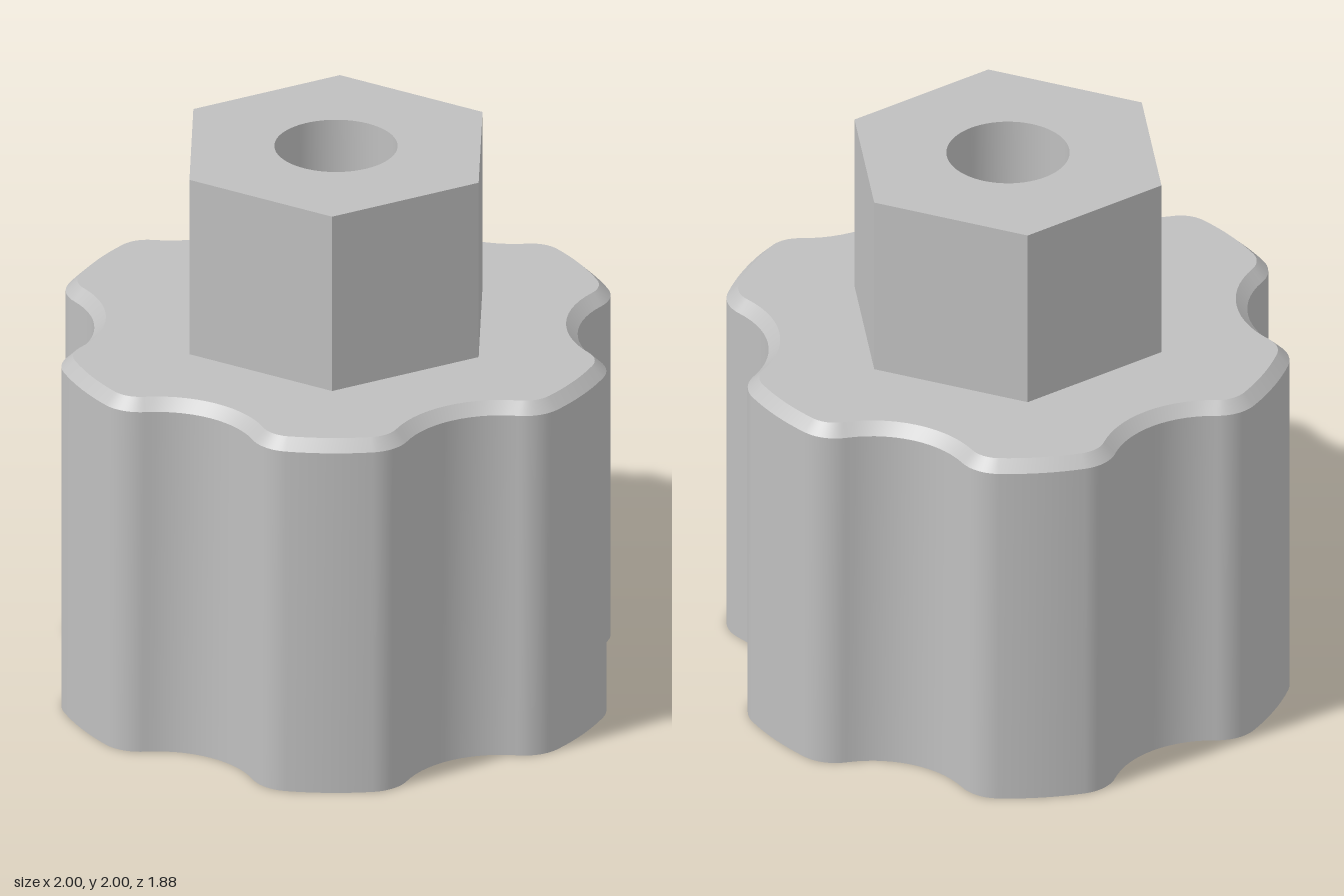
import * as THREE from 'three';

const DEG = Math.PI / 180;
const BODY_TOP = 1.335, HEIGHT = 2, CHAMFER = 0.04;
const BORE_R = 0.75, BORE_TOP = 1.07, HOLE_R = 0.213, HEX_R = 0.577;

// Points along an arc, last point left out so arcs can be chained
function arc(cx, cy, r, from, to, steps) {
  return Array.from({ length: steps }, (_, i) => {
    const t = from + (to - from) * i / steps;
    return new THREE.Vector2(cx + r * Math.cos(t), cy + r * Math.sin(t));
  });
}

const circle = (r, n = 96) => arc(0, 0, r, 0, Math.PI * 2, n);

// Six-lobed grip outline: scallop, fillet, lobe, fillet; inset shrinks it evenly
function gripOutline(inset = 0) {
  const f = 0.15, r = 0.355, d = 1.19;
  const c = 1 - f;
  const beta = Math.acos((c * c + d * d - (r + f) ** 2) / (2 * c * d));
  const phi = Math.asin(c * Math.sin(beta) / (r + f));
  const pts = [];
  for (let k = 0; k < 6; k++) {
    const s = (60 * k - 30) * DEG, e = s + 60 * DEG;
    const a = s + beta, b = e - beta;
    pts.push(
      ...arc(d * Math.cos(s), d * Math.sin(s), r + inset, s + Math.PI + phi, s + Math.PI - phi, 14),
      ...arc(c * Math.cos(a), c * Math.sin(a), f - inset, s - phi, a, 10),
      ...arc(0, 0, 1 - inset, a, b, 8),
      ...arc(c * Math.cos(b), c * Math.sin(b), f - inset, b, e + phi, 10)
    );
  }
  return pts;
}

// Smooth closed wall between two matching outlines; inward walls face the axis
function wall(lower, y0, upper, y1, inward = false) {
  const n = lower.length, pos = [], idx = [];
  lower.forEach(p => pos.push(p.x, y0, -p.y));
  upper.forEach(p => pos.push(p.x, y1, -p.y));
  for (let i = 0; i < n; i++) {
    const j = (i + 1) % n;
    if (inward) idx.push(i, n + j, j, i, n + i, n + j);
    else idx.push(i, j, n + j, i, n + j, n + i);
  }
  const g = new THREE.BufferGeometry();
  g.setAttribute('position', new THREE.Float32BufferAttribute(pos, 3));
  g.setIndex(idx);
  g.computeVertexNormals();
  return g;
}

// Flat horizontal face with a hole, facing up or down
function cap(outline, hole, y, up) {
  const shape = new THREE.Shape(outline);
  shape.holes.push(new THREE.Path(hole));
  return new THREE.ShapeGeometry(shape)
    .rotateX(up ? -Math.PI / 2 : Math.PI / 2)
    .translate(0, y, 0);
}

export function createModel() {
  const model = new THREE.Group();
  model.name = 'hexShankGripKnob';
  const grey = new THREE.MeshStandardMaterial({ color: 0xbfbfbf });
  grey.name = 'plainGrey';

  const part = (name, geometries) => {
    const group = new THREE.Group();
    group.name = name;
    for (const [meshName, geometry] of Object.entries(geometries)) {
      const mesh = new THREE.Mesh(geometry, grey);
      mesh.name = meshName;
      group.add(mesh);
    }
    model.add(group);
  };

  const outer = gripOutline(), inner = gripOutline(CHAMFER);
  const hex = circle(HEX_R, 6), hole = circle(HOLE_R, 64);
  const bore = circle(BORE_R), mouth = circle(BORE_R + CHAMFER);

  // Scalloped grip with a chamfered top edge
  part('grip', {
    gripSide: wall(outer, 0, outer, BODY_TOP - CHAMFER),
    gripChamfer: wall(outer, BODY_TOP - CHAMFER, inner, BODY_TOP),
    gripTop: cap(inner, hex, BODY_TOP, true),
    gripBottom: cap(outer, mouth, 0, false)
  });

  // Wide bore open at the bottom
  part('bore', {
    boreChamfer: wall(mouth, 0, bore, CHAMFER, true),
    boreWall: wall(bore, CHAMFER, bore, BORE_TOP, true),
    boreCeiling: cap(bore, hole, BORE_TOP, false)
  });

  // Hexagonal shank with the through hole
  const shankHeight = HEIGHT - BODY_TOP;
  const shankSide = new THREE.CylinderGeometry(HEX_R, HEX_R, shankHeight, 6, 1, true)
    .toNonIndexed()
    .rotateY(Math.PI / 6)
    .translate(0, BODY_TOP + shankHeight / 2, 0);
  shankSide.computeVertexNormals();
  part('hexShank', {
    shankSide,
    shankTop: cap(hex, hole, HEIGHT, true),
    throughHole: wall(hole, BORE_TOP, hole, HEIGHT, true)
  });

  return model;
}
